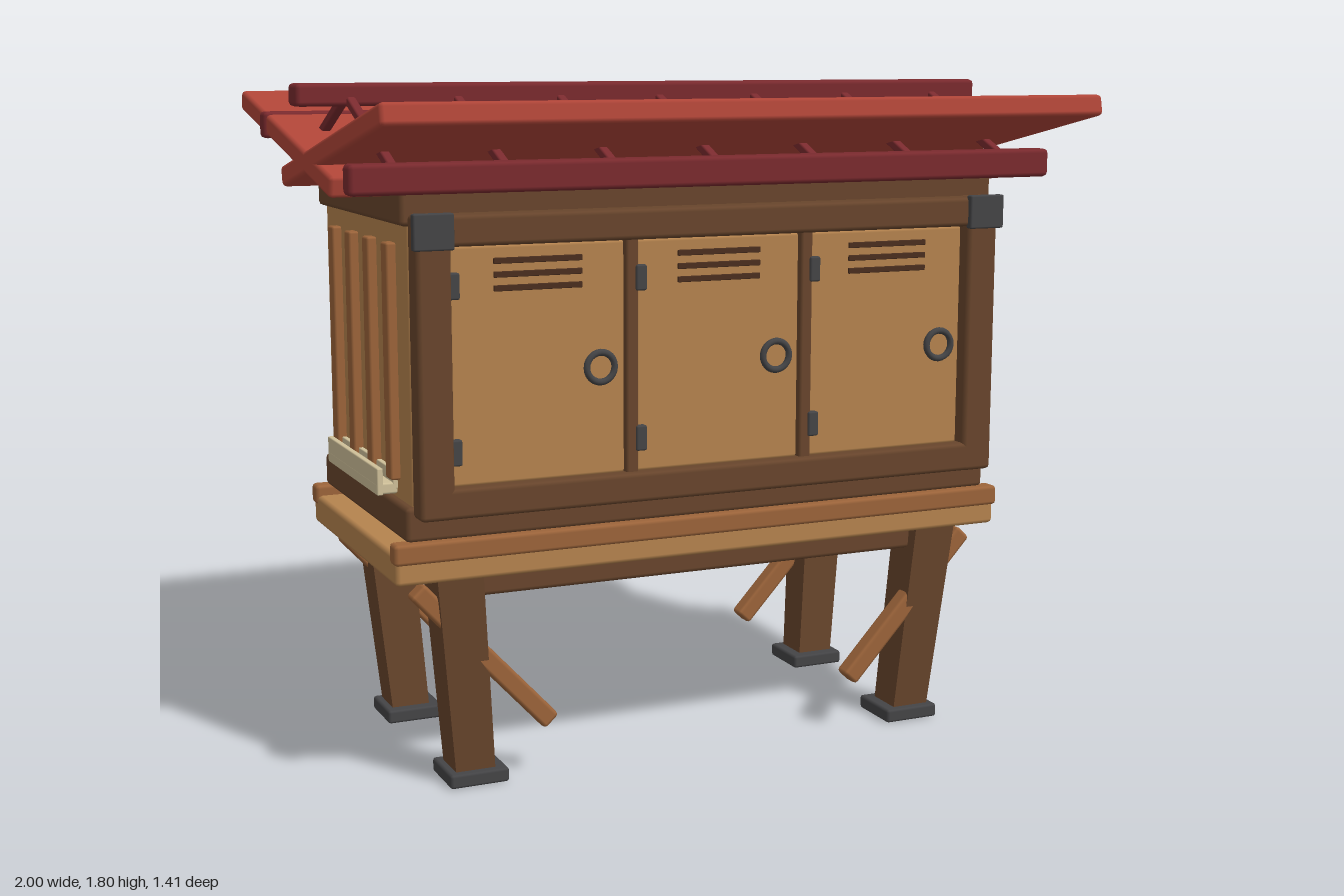
import * as THREE from 'three';
import { RoundedBoxGeometry } from 'three/addons/geometries/RoundedBoxGeometry.js';

const mat = (name, color) => {
  const m = new THREE.MeshStandardMaterial({ color });
  m.name = name;
  return m;
};

export function createModel() {
  const model = new THREE.Group();
  const tan = mat('tan wood', 0xb5834e);
  const trim = mat('warm wood trim', 0x9c643a);
  const brown = mat('dark wood', 0x68452c);
  const slot = mat('vent shadow wood', 0x4a2e1e);
  const red = mat('roof red', 0xb04538);
  const maroon = mat('ridge maroon', 0x7a2a2e);
  const metal = mat('dark metal', 0x444446);
  const cream = mat('cream', 0xcfc099);

  const add = (name, geometry, material, x = 0, y = 0, z = 0) => {
    const mesh = new THREE.Mesh(geometry, material);
    mesh.name = name;
    mesh.position.set(x, y, z);
    model.add(mesh);
    return mesh;
  };
  // Softly bevelled block given by its size and centre
  const block = (name, material, w, h, d, x, y, z) =>
    add(name, new RoundedBoxGeometry(w, h, d, 1, Math.min(0.012, Math.min(w, h, d) * 0.2)), material, x, y, z);
  const sides = [-1, 1];

  // Legs taper and lean inward; each has a foot and a diagonal brace through it
  for (const sx of sides) {
    for (const sz of sides) {
      const leg = new THREE.BoxGeometry(1, 1, 1);
      const p = leg.attributes.position;
      for (let i = 0; i < p.count; i++) {
        const top = p.getY(i) > 0;
        const w = top ? 0.125 : 0.107;
        p.setXYZ(i,
          p.getX(i) * w + sx * (top ? 0.705 : 0.652),
          top ? 0.655 : 0.03,
          p.getZ(i) * w + sz * (top ? 0.322 : 0.285));
      }
      leg.computeVertexNormals();
      add('leg', leg, brown);
      block('foot', metal, 0.16, 0.038, 0.16, sx * 0.647, 0.019, sz * 0.281);
      const brace = block('brace', trim, 0.052, 0.53, 0.052, sx * 0.625, 0.34, sz * 0.335);
      brace.rotation.z = -sx * 0.745;
    }
  }

  // Deck with rails along front and back, and beams underneath
  block('deck', tan, 1.745, 0.08, 0.8, 0, 0.603, 0);
  for (const s of sides) {
    block('deckRail', trim, 1.755, 0.055, 0.052, 0, 0.645, s * 0.383);
    block('deckBeam', brown, 1.32, 0.07, 0.06, 0, 0.535, s * 0.31);
  }

  // Cabinet body
  block('bodyWalls', tan, 1.64, 0.8, 0.765, 0, 1.11, 0);
  block('bottomRail', brown, 1.68, 0.09, 0.78, 0, 0.715, 0);
  block('topRail', brown, 1.68, 0.09, 0.78, 0, 1.503, 0);
  block('backPanel', trim, 1.58, 0.7, 0.01, 0, 1.109, -0.384);

  // Side battens and cream trays
  for (const s of sides) {
    for (const z of [0.255, 0.085, -0.085, -0.252])
      block('sideBatten', trim, 0.03, 0.6, 0.05, s * 0.83, 1.11, z);
    block('trayFloor', cream, 0.055, 0.03, 0.48, s * 0.847, 0.785, 0.015);
    block('trayLip', cream, 0.016, 0.07, 0.48, s * 0.866, 0.803, 0.015);
    block('trayBack', cream, 0.014, 0.05, 0.5, s * 0.826, 0.808, 0.005);
  }

  // Front frame
  for (const s of sides) {
    block('frameStile', brown, 0.09, 0.755, 0.074, s * 0.777, 1.112, 0.42);
    block('frameCorner', metal, 0.104, 0.09, 0.024, s * 0.78, 1.449, 0.459);
    block('doorDivider', brown, 0.034, 0.61, 0.055, s * 0.249, 1.11, 0.41);
  }
  block('frameBottom', brown, 1.63, 0.078, 0.074, 0, 0.774, 0.42);
  block('frameTop', brown, 1.63, 0.078, 0.074, 0, 1.449, 0.42);

  // Three doors with vents, hinges and ring handles
  for (const x of [-0.499, -0.002, 0.495]) {
    block('door', tan, 0.466, 0.6, 0.045, x, 1.11, 0.403);
    for (const y of [1.37, 1.336, 1.302])
      block('vent', slot, 0.234, 0.015, 0.008, x, y, 0.427);
    for (const y of [1.313, 0.9])
      block('hinge', metal, 0.03, 0.066, 0.025, x - 0.224, y, 0.432);
    add('ringHandle', new THREE.TorusGeometry(0.038, 0.009, 8, 24), metal, x + 0.163, 1.09, 0.435);
  }

  // Tilted supports resting on the body
  for (const x of [-0.78, -0.26, 0.26, 0.78])
    block('roofSupport', brown, 0.05, 0.05, 0.77, x, 1.572, 0).rotation.x = 0.06;

  // Crossed roof slabs
  for (const s of sides)
    block('roofSlab', red, 1.95, 0.056, 0.97, 0, 1.643, s * 0.227).rotation.x = -s * 0.2;

  // Ridge, eave beams and slim rafters
  block('ridgeBeam', maroon, 2, 0.058, 0.09, 0, 1.767, 0);
  block('frontEaveBeam', maroon, 1.965, 0.076, 0.062, 0, 1.576, 0.426);
  block('backEaveBeam', maroon, 1.965, 0.072, 0.058, 0, 1.678, -0.423);
  for (let i = -3; i <= 3; i++)
    for (const s of sides)
      block('rafter', maroon, 0.024, 0.024, 0.46, i * 0.286, 1.672, s * 0.225).rotation.x = s * 0.4;

  return model;
}
